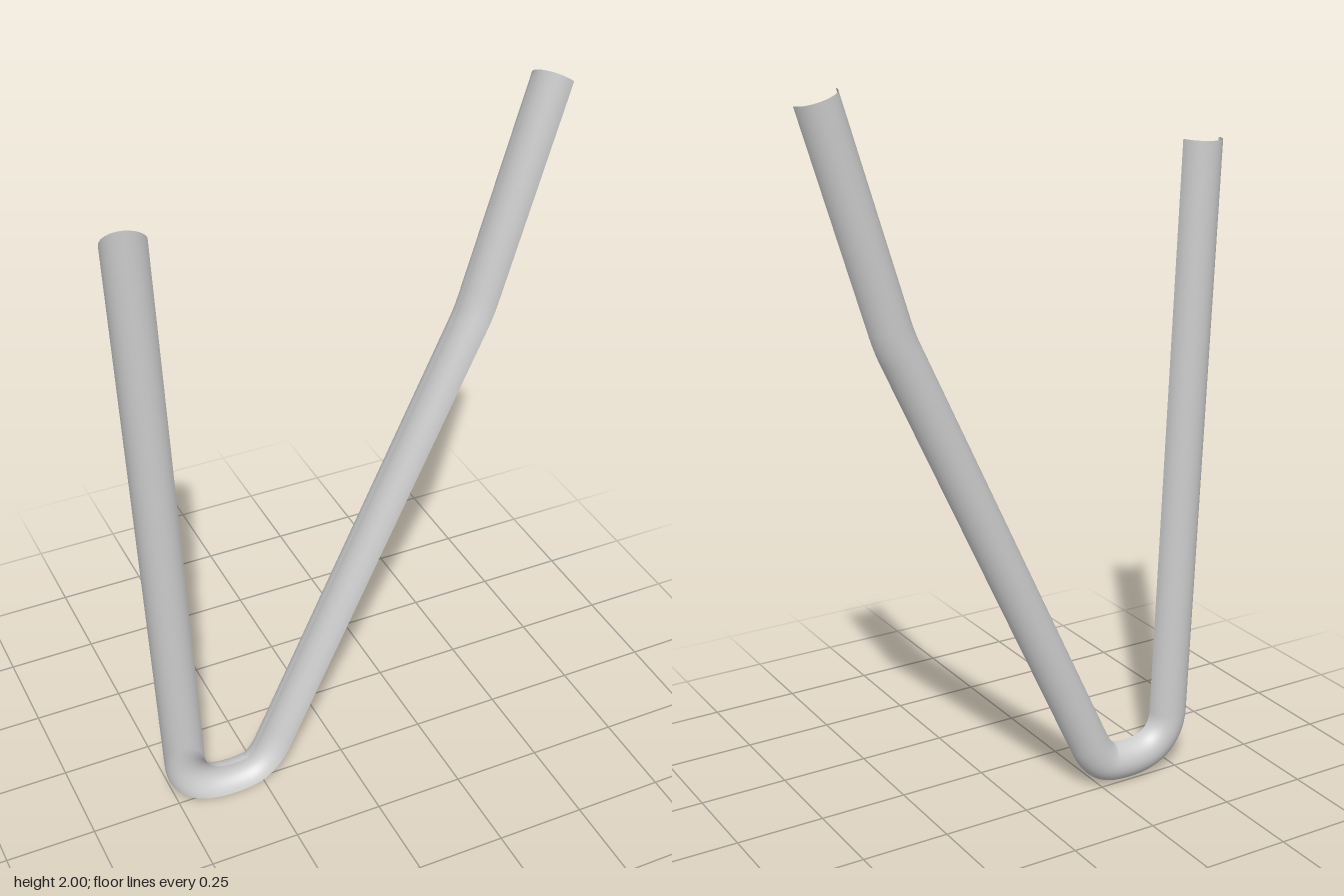
import * as THREE from 'three';

const RADIUS = 0.057;
const SIDES = 20; // facets around the half circle

const v = (x, y) => new THREE.Vector2(x, y);
const cubic = (a, b, c, d) => new THREE.CubicBezierCurve(v(...a), v(...b), v(...c), v(...d));
const line = (a, b) => new THREE.LineCurve(v(...a), v(...b));

// Sweeps a half circle, open towards +z, along consecutive flat curves
function halfPipe(curves) {
  const positions = [];
  const index = [];
  let rows = 0;
  curves.forEach((curve, c) => {
    const steps = curve.isLineCurve ? 4 : 12;
    for (let s = c ? 1 : 0; s <= steps; s++, rows++) {
      const p = curve.getPoint(s / steps);
      const t = curve.getTangent(s / steps);
      for (let j = 0; j <= SIDES; j++) {
        const a = (j / SIDES) * Math.PI;
        const w = RADIUS * Math.cos(a);
        positions.push(p.x - t.y * w, p.y + t.x * w, RADIUS / 2 - RADIUS * Math.sin(a));
      }
    }
  });
  const n = SIDES + 1;
  for (let i = 0; i < rows - 1; i++) {
    for (let j = 0; j < SIDES; j++) {
      const k = i * n + j;
      index.push(k, k + n, k + 1, k + 1, k + n, k + n + 1);
    }
  }
  const geometry = new THREE.BufferGeometry();
  geometry.setAttribute('position', new THREE.Float32BufferAttribute(positions, 3));
  geometry.setIndex(index);
  geometry.computeVertexNormals();
  return geometry;
}

export function createModel() {
  const group = new THREE.Group();
  group.name = 'bentChannel';

  const path = [
    // short upright leg
    line([-0.548, 1.8], [-0.484, 0.175]),
    // rounded bottom bend
    cubic([-0.484, 0.175], [-0.482, 0.12], [-0.445, 0.073], [-0.39, 0.062]),
    cubic([-0.39, 0.062], [-0.357, 0.0555], [-0.323, 0.0555], [-0.29, 0.062]),
    cubic([-0.29, 0.062], [-0.258, 0.069], [-0.234, 0.107], [-0.22, 0.137]),
    // long slanted leg
    line([-0.22, 0.137], [0.347, 1.352]),
    // slight kink
    cubic([0.347, 1.352], [0.357, 1.373], [0.365, 1.395], [0.372, 1.417]),
    // upper end
    line([0.372, 1.417], [0.547, 1.985]),
  ];

  const material = new THREE.MeshStandardMaterial({ color: 0xcccccc, side: THREE.DoubleSide });
  const channel = new THREE.Mesh(halfPipe(path), material);
  channel.name = 'halfPipe';
  group.add(channel);
  return group;
}
